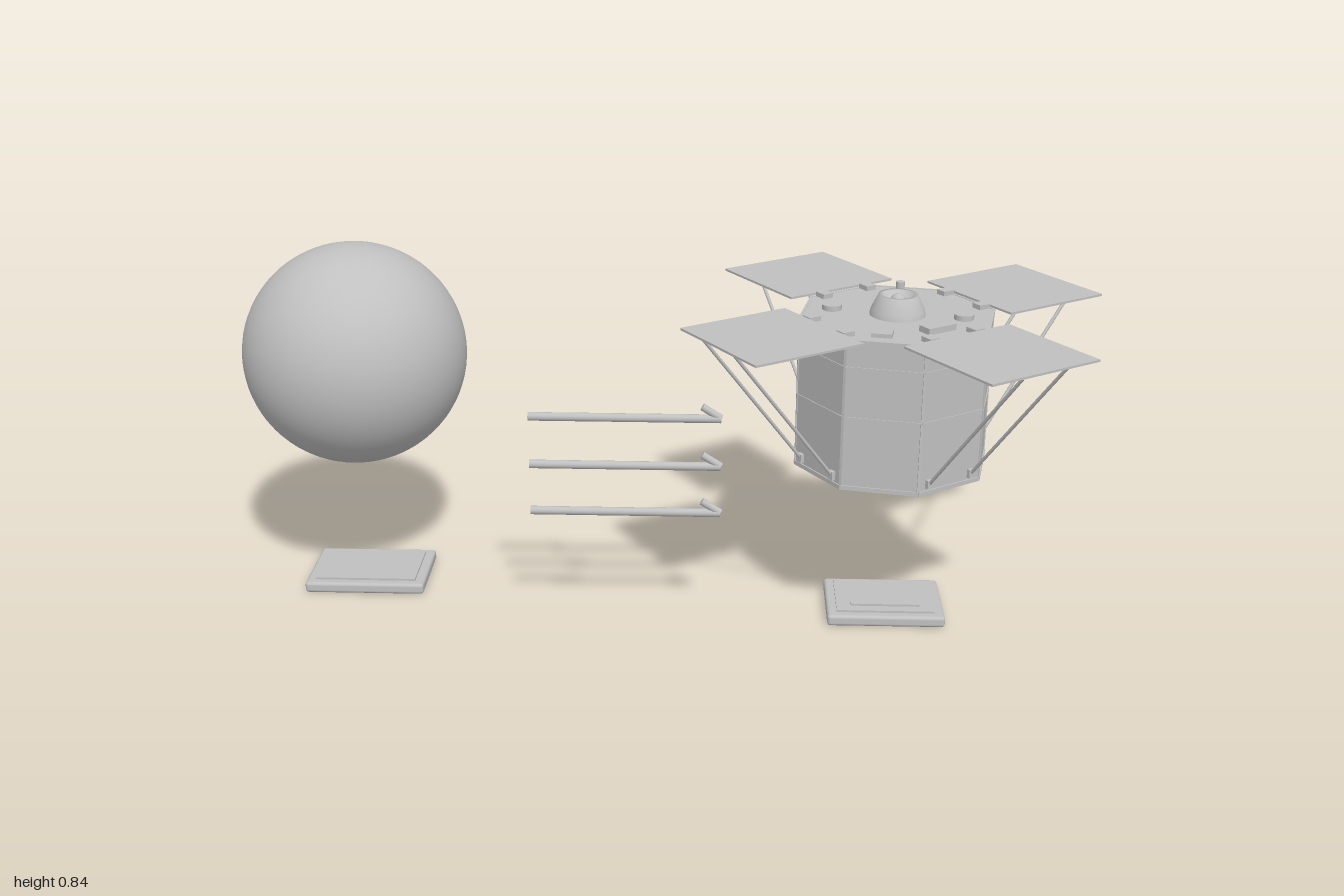
import * as THREE from 'three';
import { RoundedBoxGeometry } from 'three/addons/geometries/RoundedBoxGeometry.js';

const grey = new THREE.MeshStandardMaterial({ color: 0xc0c0c0 });
grey.name = 'plain grey';
const rad = THREE.MathUtils.degToRad;
const V = (x, y, z) => new THREE.Vector3(x, y, z);

function add(parent, name, geometry, x = 0, y = 0, z = 0) {
  const mesh = new THREE.Mesh(geometry, grey);
  mesh.name = name;
  mesh.position.set(x, y, z);
  parent.add(mesh);
  return mesh;
}

function box(parent, name, w, h, d, x, y, z) {
  return add(parent, name, new THREE.BoxGeometry(w, h, d), x, y, z);
}

// Round rod between two points
function rod(parent, name, a, b, r, sides = 12) {
  const dir = b.clone().sub(a);
  const mesh = add(parent, name, new THREE.CylinderGeometry(r, r, dir.length(), sides));
  mesh.position.copy(a).add(b).multiplyScalar(0.5);
  mesh.quaternion.setFromUnitVectors(V(0, 1, 0), dir.normalize());
  return mesh;
}

function group(parent, name, x = 0, y = 0, z = 0) {
  const g = new THREE.Group();
  g.name = name;
  g.position.set(x, y, z);
  parent.add(g);
  return g;
}

// Group whose local +x points along the plan angle (degrees, from +x towards +z)
function spoke(parent, name, angle) {
  const g = group(parent, name);
  g.rotation.y = -rad(angle);
  return g;
}

function buildSatellite(parent) {
  const sat = group(parent, 'satellite', 0.511, 0, 0);
  const R = 0.224, apothem = R * Math.cos(Math.PI / 8), bottom = 0.386, top = 0.732;
  const mid = (bottom + top) / 2, faceWidth = 2 * R * Math.sin(Math.PI / 8);

  // Eight-sided body with flat faces
  const body = new THREE.CylinderGeometry(R, R, top - bottom, 8, 1, false, rad(56)).toNonIndexed();
  body.computeVertexNormals();
  add(sat, 'body', body, 0, mid, 0);

  for (let i = 0; i < 8; i++) {
    const angle = 56.5 + i * 45;
    const face = spoke(sat, 'bodyFace', angle);

    // Blanket seams and rim tape
    for (const y of [0.67, 0.555]) box(face, 'blanketSeam', 0.004, 0.003, faceWidth, apothem, y, 0);
    for (const y of [bottom + 0.004, top - 0.004]) box(face, 'rimTape', 0.006, 0.01, faceWidth, apothem, y, 0);
    const edge = spoke(sat, 'cornerTape', angle + 22.5);
    box(edge, 'cornerStrip', 0.004, top - bottom, 0.006, R - 0.001, mid, 0);

    if (i % 2) continue;
    // Solar panel with its hinges and two struts
    const wing = spoke(sat, 'solarWing', angle);
    box(wing, 'solarPanel', 0.275, 0.005, 0.29, 0.342, 0.738, 0);
    for (const s of [-1, 1]) {
      box(wing, 'hinge', 0.03, 0.014, 0.026, 0.19, 0.736, s * 0.062);
      box(wing, 'strutFoot', 0.014, 0.02, 0.016, 0.209, 0.41, s * 0.059);
      rod(wing, 'strut', V(0.474, 0.736, s * 0.059), V(0.211, 0.41, s * 0.059), 0.004, 8);
    }
  }

  // Flared nozzle with an open cup at the top
  const profile = [[0.063, 0.73], [0.06, 0.745], [0.044, 0.778], [0.036, 0.778], [0.026, 0.762], [0, 0.758]]
    .map(([x, y]) => new THREE.Vector2(x, y)).reverse();
  const nozzle = new THREE.LatheGeometry(profile.reverse(), 32);
  add(sat, 'topNozzle', nozzle);
  add(sat, 'nozzleCore', new THREE.SphereGeometry(0.018, 16, 10), 0, 0.762, 0);

  // Deck equipment
  const disc = (name, r, h, x, z) => add(sat, name, new THREE.CylinderGeometry(r, r, h, 24), x, top + h / 2, z);
  disc('deckSensor', 0.022, 0.012, -0.144, -0.032);
  disc('deckSensor', 0.022, 0.012, 0.144, 0.03);
  disc('antennaStub', 0.01, 0.028, 0.02, -0.162);
  box(sat, 'deckBox', 0.075, 0.014, 0.035, 0.077, 0.739, 0.115).rotation.y = rad(33);
  box(sat, 'deckPlate', 0.045, 0.01, 0.045, -0.045, 0.736, 0.15).rotation.y = rad(-10);
}

// Rounded base plate with a raised panel
function buildBase(parent, name, x, z, width) {
  const base = group(parent, name, x, 0, z);
  add(base, 'basePlate', new RoundedBoxGeometry(width, 0.027, 0.202, 2, 0.008), 0, 0.0135, 0);
  box(base, 'raisedPanel', width - 0.045, 0.006, 0.16, 0, 0.029, 0);
  return base;
}

export function createModel() {
  const model = new THREE.Group();
  model.name = 'satelliteAndSphere';

  add(model, 'sphere', new THREE.SphereGeometry(0.26, 64, 40), -0.74, 0.585, -0.12);
  buildSatellite(model);

  // Three half-barbed arrows pointing from the sphere to the satellite
  for (const y of [0.518, 0.403, 0.289]) {
    const arrow = group(model, 'arrow', 0, y, 0.11);
    rod(arrow, 'arrowShaft', V(-0.31, 0, 0), V(0.122, 0, 0), 0.0098);
    rod(arrow, 'arrowBarb', V(0.122, 0.001, 0), V(0.08, 0.028, 0), 0.0085);
  }

  // Base plates below each body
  buildBase(model, 'sphereBase', -0.738, -0.122, 0.288);
  const satBase = buildBase(model, 'satelliteBase', 0.512, 0.002, 0.274);
  box(satBase, 'raisedBar', 0.16, 0.007, 0.018, 0, 0.0335, 0.047);

  return model;
}
